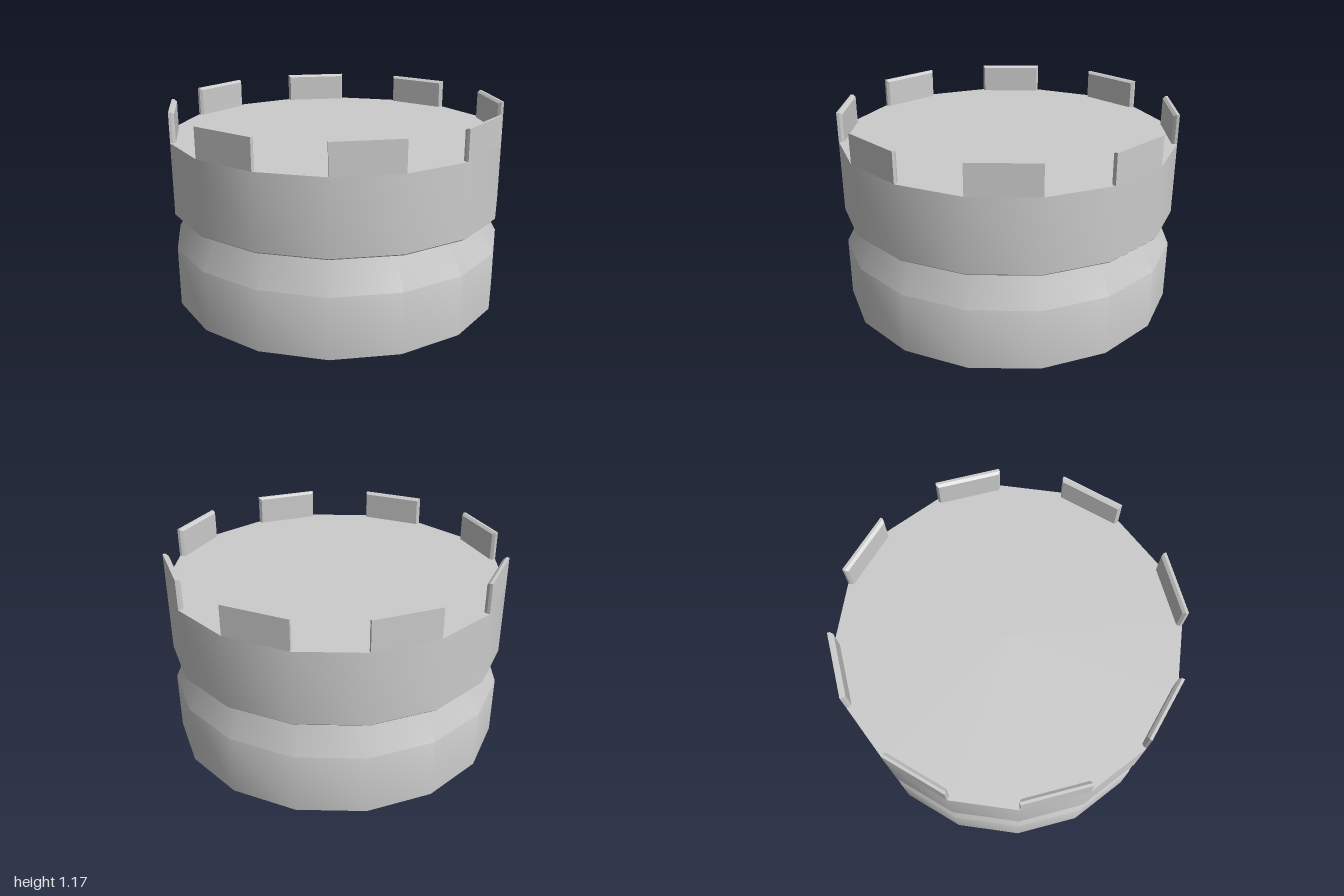
import * as THREE from 'three';
import { toCreasedNormals } from 'three/addons/utils/BufferGeometryUtils.js';

const SIDES = 16;
const STEP = (Math.PI * 2) / SIDES;
const material = new THREE.MeshStandardMaterial({ color: 0xcccccc, side: THREE.DoubleSide });

// Sixteen-sided thin shell from a profile of [radius, height] points
function shell(name, profile) {
  const points = profile.map(([r, y]) => new THREE.Vector2(r, y));
  const geometry = toCreasedNormals(new THREE.LatheGeometry(points, SIDES), 0.6);
  const mesh = new THREE.Mesh(geometry, material);
  mesh.name = name;
  return mesh;
}

// Upright plate filling one side of the polygon, with its inner edges bevelled
function battlementGeometry(height, depth, bevel) {
  const width = 2 * Math.sin(STEP / 2);
  const geometry = new THREE.BoxGeometry(width, height, depth, 1, 1, 2);
  geometry.translate(0, height / 2, Math.cos(STEP / 2) - depth / 2);
  const position = geometry.attributes.position;
  const inner = Math.cos(STEP / 2) - depth;
  for (let i = 0; i < position.count; i++) {
    const x = position.getX(i), y = position.getY(i), z = position.getZ(i);
    if (z < inner + 0.001) {
      position.setX(i, x - Math.sign(x) * bevel);
      if (y > 0) position.setY(i, y - bevel);
    }
  }
  return toCreasedNormals(geometry, 0.4);
}

export function createModel() {
  const model = new THREE.Group();
  model.name = 'crenellatedTower';

  // Hollow base: open bottom rim, straight wall, tapered neck
  model.add(shell('base', [[0.72, 0], [1, 0], [1, 0.36], [0.905, 0.53], [0.9, 0.565]]));

  // Overhanging upper ring closed by a flat deck
  model.add(shell('upperRing', [[0.9, 0.565], [0.992, 0.565], [1, 0.573], [1, 1], [0, 1]]));

  // Battlements on every second side
  const battlements = new THREE.Group();
  battlements.name = 'battlements';
  const plate = battlementGeometry(0.175, 0.032, 0.012);
  for (let k = 0; k < SIDES; k += 2) {
    const battlement = new THREE.Mesh(plate, material);
    battlement.name = 'battlement';
    battlement.position.y = 1;
    battlement.rotation.y = (k + 0.5) * STEP;
    battlements.add(battlement);
  }
  model.add(battlements);

  return model;
}
